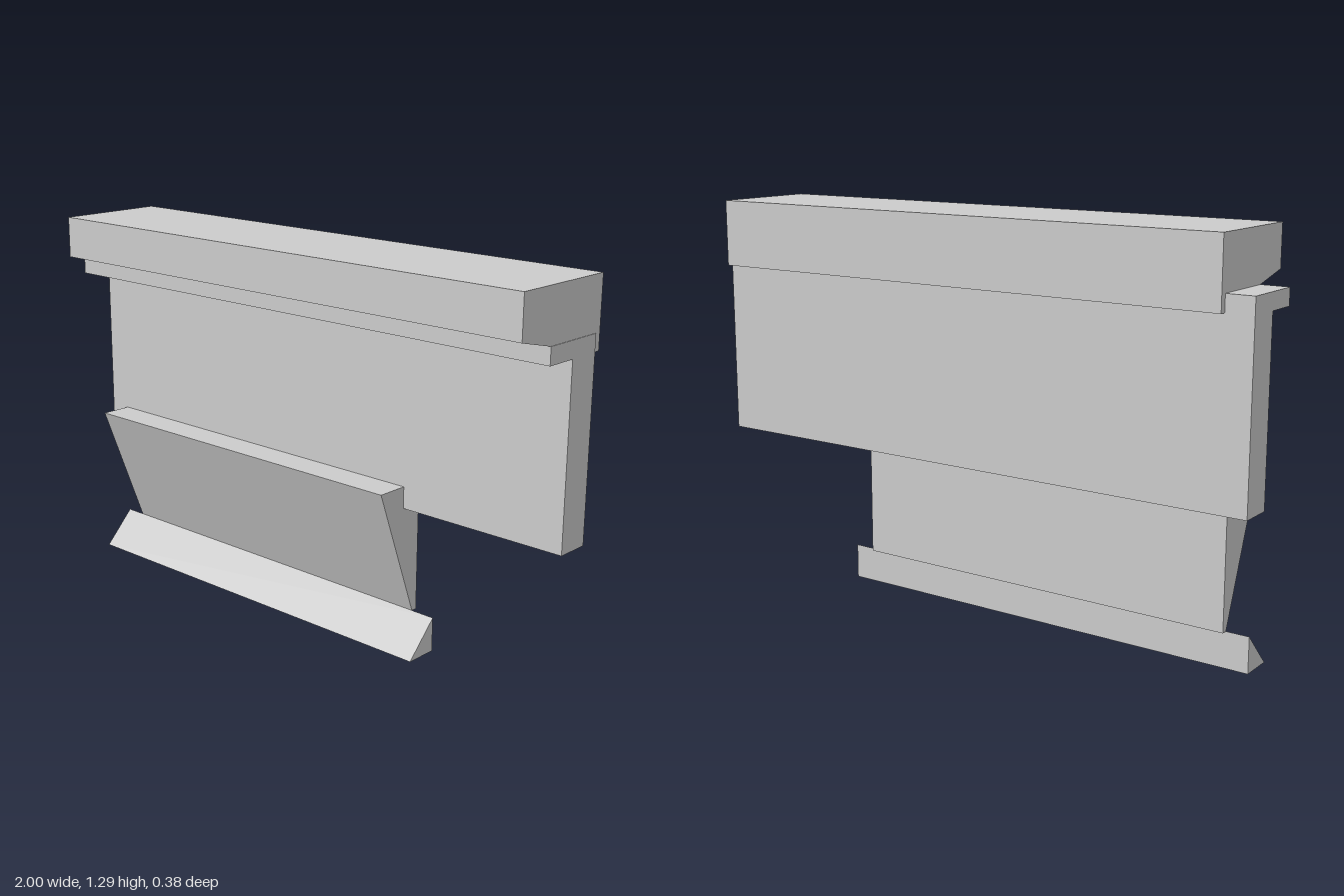
import * as THREE from 'three';

const material = new THREE.MeshStandardMaterial({ color: 0xcccccc, flatShading: true });

// Extrude a [z, y] profile along x from x0 to x1.
function profilePart(name, x0, x1, profile) {
  const shape = new THREE.Shape(profile.map(([z, y]) => new THREE.Vector2(-z, y)));
  const geometry = new THREE.ExtrudeGeometry(shape, { depth: x1 - x0, bevelEnabled: false });
  geometry.rotateY(Math.PI / 2);
  geometry.translate(x0, 0, 0);
  const mesh = new THREE.Mesh(geometry, material);
  mesh.name = name;
  return mesh;
}

export function createModel() {
  const group = new THREE.Group();
  group.name = 'mouldingSection';

  group.add(
    // Overhanging cap with a sloped underside and a thin skirt behind the panel
    profilePart('cap', -0.908, 0.998, [
      [0.19, 1.29], [0.19, 1.152], [0.055, 1.12], [-0.168, 1.12],
      [-0.168, 1.065], [-0.19, 1.065], [-0.19, 1.29],
    ]),
    // Upright panel with a small lip along its top front edge
    profilePart('panel', -1, 1, [
      [0.055, 1.12], [0.055, 1.065], [-0.055, 1.065], [-0.055, 0.482],
      [-0.168, 0.482], [-0.168, 1.12],
    ]),
    // Tapering wedge stepped under the panel
    profilePart('wedge', -0.92, 0.412, [
      [0.055, 0.554], [-0.111, 0.116], [-0.131, 0.116],
      [-0.131, 0.482], [-0.055, 0.482], [-0.055, 0.554],
    ]),
    // Triangular strip at the foot
    profilePart('footStrip', -0.995, 0.498, [[0, 0], [-0.111, 0], [-0.111, 0.116]]),
  );
  return group;
}
